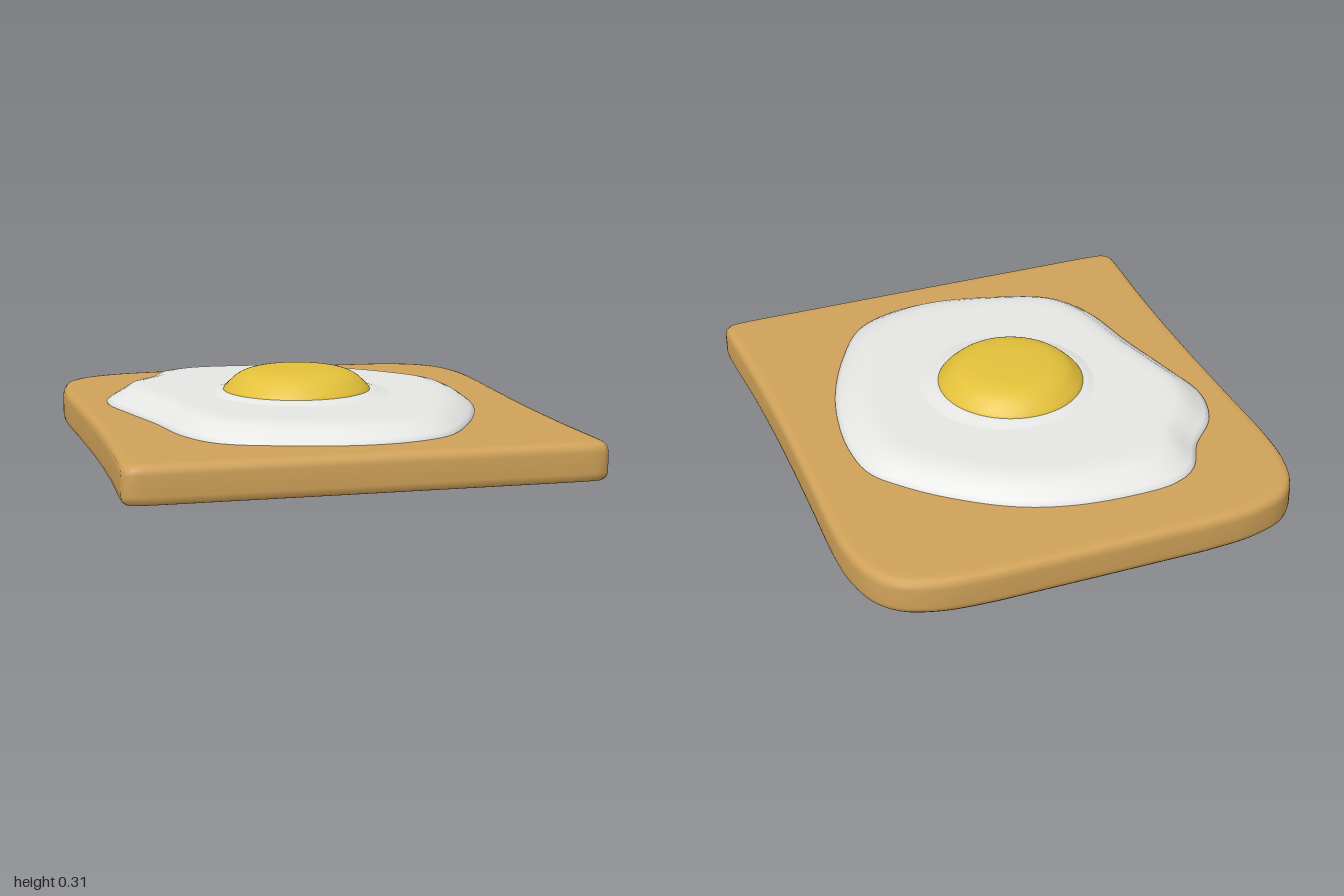
import * as THREE from 'three';

const material = (name, color) => {
  const m = new THREE.MeshStandardMaterial({ color });
  m.name = name;
  return m;
};

// Smooth closed outline through [x, z] points, clockwise seen from above
function outline(points, count) {
  const curve = new THREE.CatmullRomCurve3(
    points.map(([x, z]) => new THREE.Vector3(x, 0, z)), true, 'centripetal');
  return curve.getSpacedPoints(count).slice(0, count);
}

// Stacks scaled copies of an outline; profile holds [scale, y] from bottom to top
function loft(loop, profile, cx = 0, cz = 0, lift = () => 0) {
  const pos = [], index = [], n = loop.length;
  profile.forEach(([s, y], j) => {
    loop.forEach((p, k) => {
      const x = cx + (p.x - cx) * s, z = cz + (p.z - cz) * s;
      pos.push(x, y + lift(x, z, s), z);
      if (j === profile.length - 1) return;
      const a = j * n + k, b = j * n + (k + 1) % n, c = a + n, d = b + n;
      index.push(a, c, b, b, c, d);
    });
  });
  const g = new THREE.BufferGeometry();
  g.setAttribute('position', new THREE.Float32BufferAttribute(pos, 3));
  g.setIndex(index);
  g.computeVertexNormals();
  return g;
}

export function createModel() {
  const group = new THREE.Group();
  group.name = 'eggOnToast';
  const crust = material('toastBrown', 0xd0a259);
  const white = material('eggWhite', 0xe6e6e4);
  const yellow = material('yolkYellow', 0xe3c03a);
  const add = (name, geometry, mat) => {
    const mesh = new THREE.Mesh(geometry, mat);
    mesh.name = name;
    group.add(mesh);
    return mesh;
  };

  // Bread slice: rounded back corners, gently waisted sides, tight front corners
  const half = [
    [0.25, -1], [0.45, -0.998], [0.62, -0.98], [0.75, -0.93], [0.82, -0.85], [0.86, -0.72],
    [0.873, -0.58], [0.866, -0.2], [0.86, 0.2], [0.866, 0.6], [0.88, 0.93],
    [0.878, 0.968], [0.862, 0.988], [0.83, 0.995], [0.5, 0.998],
  ];
  const slice = [...half, ...half.map(([x, z]) => [-x, z]).reverse()];
  add('breadSlice', loft(outline(slice, 240), [
    [0, 0], [0.95, 0], [0.97, 0.001], [0.986, 0.005], [0.996, 0.016], [1, 0.035],
    [1, 0.11], [0.996, 0.129], [0.986, 0.14], [0.97, 0.144], [0.95, 0.146], [0, 0.146],
  ]), crust);

  // Egg white: irregular puddle with a sloping edge, slightly higher on one side
  const cx = -0.045, cz = 0.043;
  const puddle = [
    [-0.25, -0.755], [0, -0.735], [0.2, -0.67], [0.4, -0.54], [0.55, -0.4], [0.645, -0.27],
    [0.668, -0.1], [0.65, 0.1], [0.6, 0.3], [0.5, 0.53], [0.36, 0.74], [0.2, 0.82],
    [0.02, 0.84], [-0.2, 0.8], [-0.48, 0.69], [-0.58, 0.53], [-0.64, 0.25], [-0.7, 0.02],
    [-0.75, -0.22], [-0.7, -0.4], [-0.58, -0.54], [-0.5, -0.68], [-0.4, -0.74],
  ];
  const tilt = (x, z, s) => (s < 0.9 ? -0.008 * x - 0.004 * z : 0);
  add('eggWhite', loft(outline(puddle, 120), [
    [0.99, 0.14], [1, 0.15], [0.975, 0.163], [0.93, 0.184], [0.88, 0.203],
    [0.83, 0.211], [0.76, 0.213], [0.6, 0.212], [0, 0.212],
  ], cx, cz, tilt), white);

  // Raised rim of white around the yolk
  const lathe = (pts) => new THREE.LatheGeometry(
    new THREE.SplineCurve(pts.map(([x, y]) => new THREE.Vector2(x, y))).getPoints(24), 64);
  add('yolkRim', lathe([[0.37, 0.207], [0.33, 0.215], [0.295, 0.223], [0.26, 0.224]]), white)
    .position.set(cx, 0, cz);

  // Yolk: low dome with a flattened crown
  add('yolk', lathe([
    [0.289, 0.21], [0.284, 0.228], [0.262, 0.252], [0.228, 0.28], [0.18, 0.298],
    [0.12, 0.305], [0.06, 0.307], [0, 0.307],
  ]), yellow).position.set(cx, 0, cz);

  return group;
}
